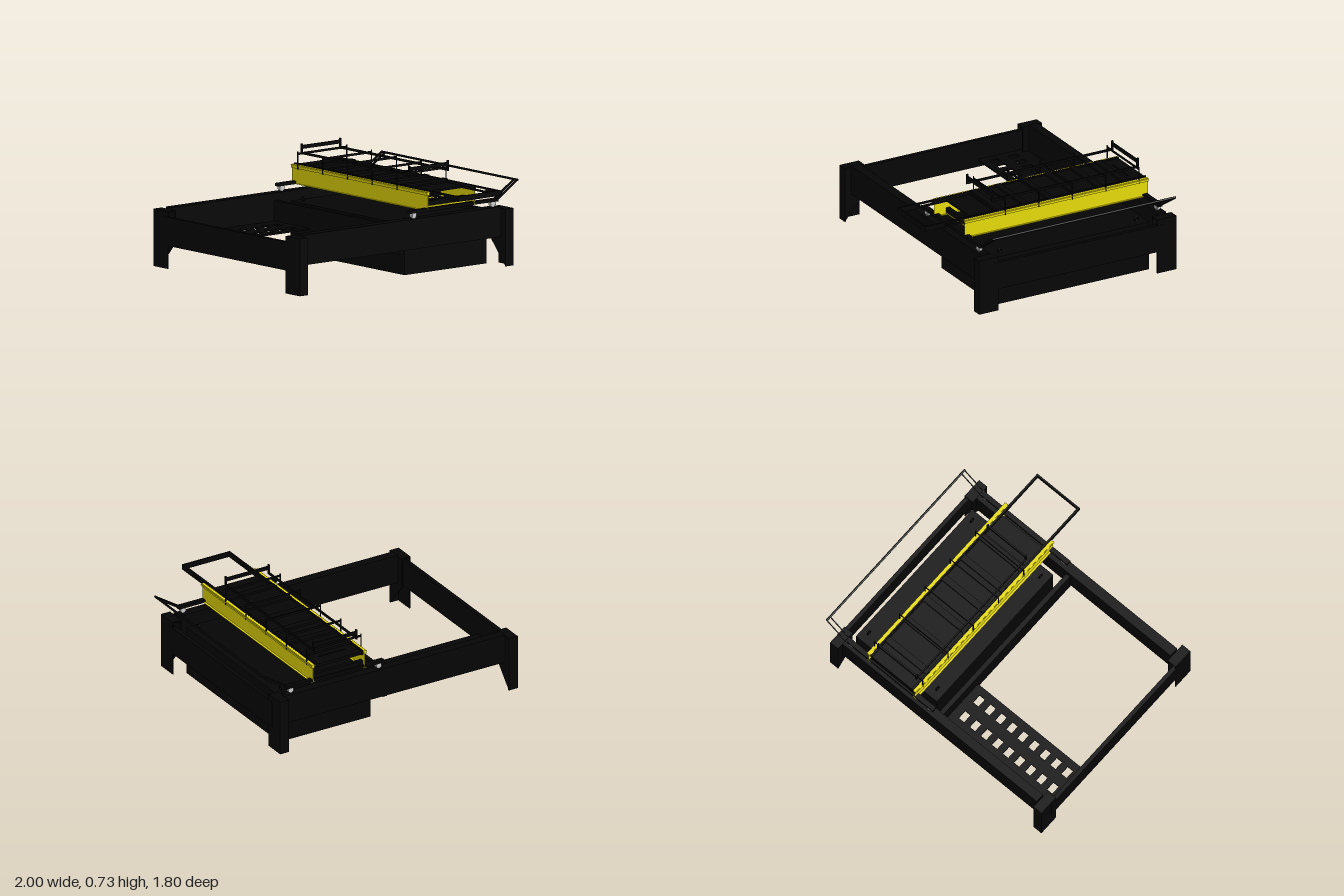
import * as THREE from 'three';

const black = new THREE.MeshStandardMaterial({ color: 0x050505, side: THREE.DoubleSide });
const yellow = new THREE.MeshStandardMaterial({ color: 0xe8dc08, side: THREE.DoubleSide });
const grey = new THREE.MeshStandardMaterial({ color: 0xcccccc });

// Box given by its limits on each axis
function box(parent, name, [x0, x1], [y0, y1], [z0, z1], mat = black) {
  const m = new THREE.Mesh(new THREE.BoxGeometry(x1 - x0, y1 - y0, z1 - z0), mat);
  m.position.set((x0 + x1) / 2, (y0 + y1) / 2, (z0 + z1) / 2);
  m.name = name;
  parent.add(m);
  return m;
}

function rect(P, x0, x1, z0, z1) {
  return new P([[x0, z0], [x1, z0], [x1, z1], [x0, z1]].map(([x, z]) => new THREE.Vector2(x, -z)));
}

// Horizontal sheet with rectangular holes
function sheet(parent, name, outline, holes, y, thick) {
  const s = rect(THREE.Shape, ...outline);
  holes.forEach(h => s.holes.push(rect(THREE.Path, ...h)));
  const m = new THREE.Mesh(new THREE.ExtrudeGeometry(s, { depth: thick, bevelEnabled: false }), black);
  m.rotation.x = -Math.PI / 2;
  m.position.y = y;
  m.name = name;
  parent.add(m);
}

function group(parent, name) {
  const g = new THREE.Group();
  g.name = name;
  parent.add(g);
  return g;
}

// Sheet-metal beam along z: upright web with a flange at top and bottom
function flangedBeam(parent, name, x, y, z, webX, t, mat) {
  const g = group(parent, name);
  box(g, 'web', [webX - t / 2, webX + t / 2], y, z, mat);
  box(g, 'bottomFlange', x, [y[0], y[0] + t], z, mat);
  box(g, 'topFlange', x, [y[1] - t, y[1]], z, mat);
}

// Corner leg: two outer plates, a cap and a tapered inner gusset.
// sx, sz point outward from the frame
function leg(parent, xOut, zOut, sx, sz) {
  const g = group(parent, 'leg');
  const w = 0.072, d = 0.152, h = 0.398, t = 0.008;
  box(g, 'sidePlate', [-t, 0], [0, h], [-d, 0]);
  box(g, 'endPlate', [-w, 0], [0, h], [-t, 0]);
  box(g, 'cap', [-w, 0], [h - t, h], [-d, 0]);
  const s = new THREE.Shape([[0, 0], [d, 0.17], [d, h], [0, h]].map(p => new THREE.Vector2(...p)));
  const gusset = new THREE.Mesh(new THREE.ExtrudeGeometry(s, { depth: t, bevelEnabled: false }), black);
  gusset.rotation.y = Math.PI / 2;
  gusset.position.x = -w;
  gusset.name = 'gusset';
  g.add(gusset);
  g.scale.set(sx, 1, sz);
  g.position.set(xOut, 0, zOut);
}

function buildFrame(root) {
  const f = group(root, 'baseFrame');
  for (const [x, sx] of [[-0.998, -1], [0.908, 1]])
    for (const [z, sz] of [[0.657, 1], [-0.902, -1]]) leg(f, x, z, sx, sz);
  box(f, 'frontBeam', [-0.92, 0.835], [0.2, 0.41], [0.54, 0.61]);
  box(f, 'backBeam', [-0.92, 0.835], [0.2, 0.41], [-0.86, -0.795]);
  box(f, 'rightSideBeam', [-1, -0.97], [0.16, 0.358], [-0.8, 0.55]);
  box(f, 'leftSideBeam', [0.88, 0.91], [0.16, 0.358], [-0.8, 0.55]);
  box(f, 'middleBeam', [-0.012, 0.022], [0.16, 0.358], [-0.8, 0.545]);

  // Perforated walkway at the back
  const holes = [];
  for (let i = 0; i < 9; i++)
    for (const z of [-0.66, -0.51]) {
      const x = -0.893 + i * 0.0995;
      holes.push([x - 0.024, x + 0.024, z - 0.034, z + 0.034]);
    }
  sheet(f, 'perforatedPlate', [-0.98, 0, -0.8, -0.42], holes, 0.205, 0.01);
}

function buildTank(root) {
  const t = group(root, 'tank');
  box(t, 'tankBody', [0.085, 0.815], [0, 0.352], [-0.74, 0.478]);
  for (const x of [0.14, 0.76])
    for (const z of [0.41, -0.67]) {
      const eye = new THREE.Mesh(new THREE.TorusGeometry(0.014, 0.005, 8, 20), black);
      eye.rotation.y = Math.PI / 2;
      eye.position.set(x, 0.37, z);
      eye.name = 'liftingEye';
      t.add(eye);
    }
}

function buildCarriage(root) {
  const c = group(root, 'carriage');
  for (const z of [0.582, -0.825]) {
    box(c, 'carriageBar', [0.035, 0.82], [0.447, 0.468], [z - 0.018, z + 0.018]);
    for (const x of [0.075, 0.78]) {
      const wheel = new THREE.Mesh(new THREE.CylinderGeometry(0.021, 0.021, 0.02, 20), grey);
      wheel.rotation.x = Math.PI / 2;
      wheel.position.set(x, 0.431, z);
      wheel.name = 'wheel';
      c.add(wheel);
      for (const s of [-1, 1])
        box(c, 'wheelFork', [x - 0.018, x + 0.018], [0.422, 0.449], [z + s * 0.014 - 0.002, z + s * 0.014 + 0.002], grey);
    }
  }

  // Push handle: sloping paired arms and a long grip
  const handle = group(c, 'pushHandle');
  const run = 0.178, rise = 0.116;
  for (const z of [0.597, 0.565, -0.81, -0.845]) {
    const arm = new THREE.Mesh(new THREE.BoxGeometry(Math.hypot(run, rise), 0.016, 0.004), black);
    arm.position.set(0.81 + run / 2, 0.46 + rise / 2, z);
    arm.rotation.z = Math.atan2(rise, run);
    arm.name = 'handleArm';
    handle.add(arm);
  }
  const grip = new THREE.Mesh(new THREE.CylinderGeometry(0.008, 0.008, 1.45, 12), black);
  grip.rotation.x = Math.PI / 2;
  grip.position.set(0.988, 0.577, -0.122);
  grip.name = 'handleGrip';
  handle.add(grip);
}

function buildConveyor(root) {
  const v = group(root, 'conveyor');
  const zs = [-0.848, 0.6];
  flangedBeam(v, 'rightYellowBeam', [0.178, 0.21], [0.45, 0.577], zs, 0.194, 0.002, yellow);
  flangedBeam(v, 'leftYellowBeam', [0.593, 0.625], [0.45, 0.577], zs, 0.609, 0.002, yellow);
  for (const x of [[0.184, 0.204], [0.599, 0.619]]) box(v, 'beamHead', x, [0.557, 0.582], zs, yellow);

  // Ties low down between the beams
  for (let i = 0; i < 6; i++) {
    const z = -0.83 + i * 0.262;
    box(v, 'tieBar', [0.2, 0.6], [0.465, 0.5], [z, z + 0.03]);
    box(v, 'tieFoot', [0.2, 0.6], [0.455, 0.463], [z, z + 0.03], yellow);
  }

  // Slotted deck with raised slats
  sheet(v, 'deck', [0.21, 0.595, -0.845, 0.34], [[0.29, 0.51, -0.756, -0.746]], 0.557, 0.022);
  sheet(v, 'frontDeck', [0.225, 0.58, 0.34, 0.52], [], 0.557, 0.012);
  for (let i = 0; i < 6; i++) {
    const z = 0.305 - i * 0.197;
    box(v, 'slat', [0.21, 0.595], [0.579, 0.594], [z - 0.024, z + 0.024]);
  }

  // Sliding front frame, each side slotted near the front
  const s = group(v, 'slidingFrame');
  for (const x of [[0.208, 0.222], [0.578, 0.592]]) {
    box(s, 'lowerRail', x, [0.552, 0.564], [-0.845, 0.895]);
    box(s, 'upperRail', x, [0.577, 0.589], [-0.845, 0.895]);
    box(s, 'railFront', x, [0.564, 0.577], [0.75, 0.895]);
    box(s, 'railBack', x, [0.564, 0.577], [-0.845, 0.63]);
  }
  box(s, 'frontBar', [0.208, 0.592], [0.552, 0.589], [0.888, 0.9]);

  // Thin posts carrying cross bars over the deck
  for (let i = 0; i < 5; i++) {
    const z = 0.283 - i * 0.2645;
    const g = group(v, 'bracket');
    for (const x of [0.182, 0.618]) box(g, 'post', [x - 0.004, x + 0.004], [0.555, 0.678], [z - 0.002, z + 0.002]);
    box(g, 'crossBar', [0.182, 0.618], [0.654, 0.67], [z - 0.002, z + 0.002]);
  }

  // Top cradle: long rails with upturned ends
  const k = group(v, 'cradle');
  for (const x of [0.228, 0.572]) {
    box(k, 'longRail', [x - 0.005, x + 0.005], [0.654, 0.67], [-0.795, 0.365]);
    for (const z of [0.358, -0.788]) box(k, 'endPost', [x - 0.005, x + 0.005], [0.654, 0.727], [z - 0.008, z + 0.008]);
  }
  for (const z of [0.358, -0.788]) box(k, 'endBar', [0.223, 0.577], [0.69, 0.715], [z - 0.006, z + 0.006]);
}

export function createModel() {
  const root = new THREE.Group();
  root.name = 'conveyorOnFrame';
  buildFrame(root);
  buildTank(root);
  buildCarriage(root);
  buildConveyor(root);
  return root;
}
